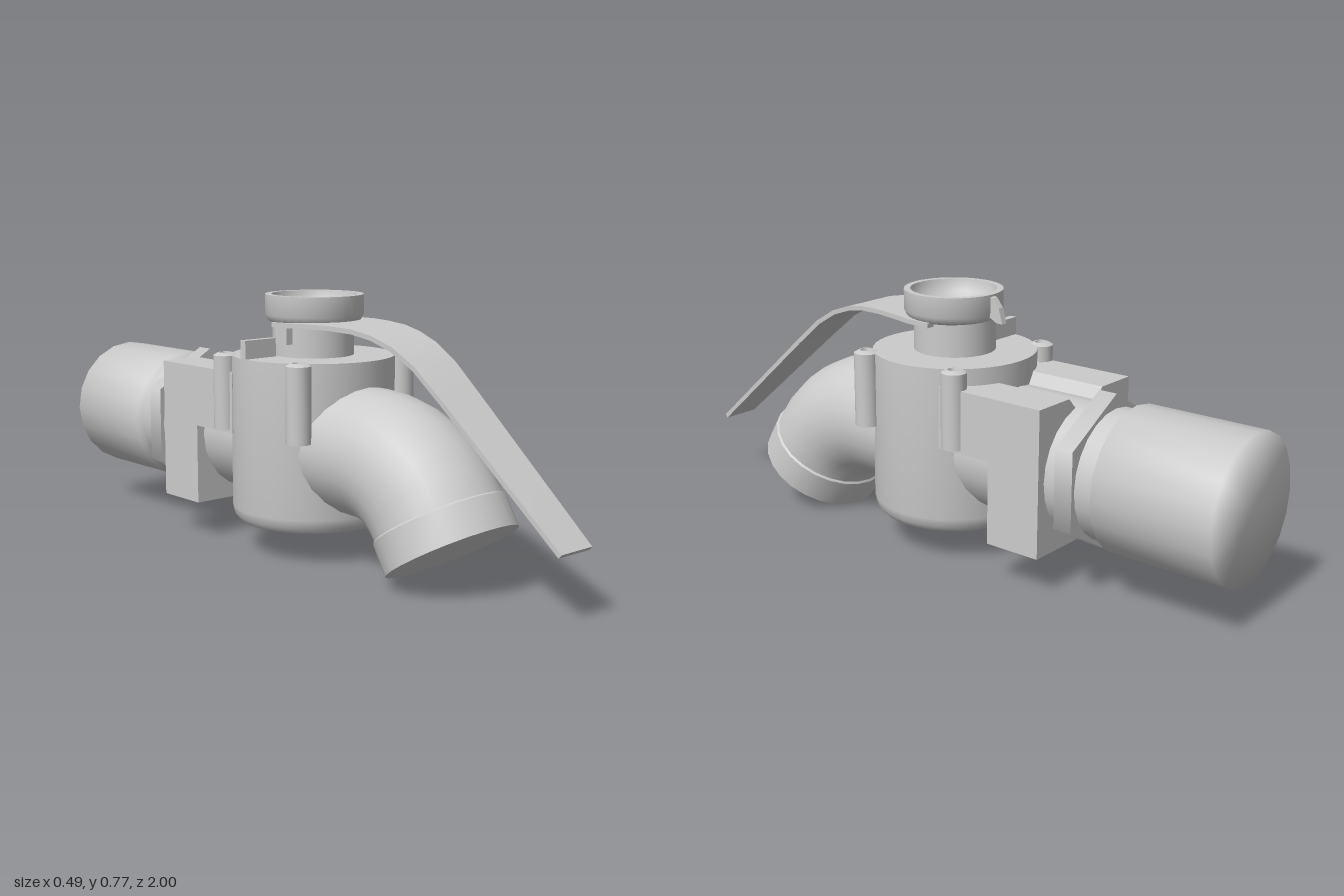
import * as THREE from 'three';
import { mergeVertices, toCreasedNormals } from 'three/addons/utils/BufferGeometryUtils.js';

const AXIS_Y = 0.33; // height of the pipe axis

export function createModel() {
  const model = new THREE.Group();
  const grey = new THREE.MeshStandardMaterial({ color: 0xcccccc, side: THREE.DoubleSide });

  const add = (name, geometry, x = 0, y = 0, z = 0) => {
    const mesh = new THREE.Mesh(geometry, grey);
    mesh.name = name;
    mesh.position.set(x, y, z);
    model.add(mesh);
    return mesh;
  };
  const lathe = (points, sides) =>
    toCreasedNormals(new THREE.LatheGeometry(points.map(([r, y]) => new THREE.Vector2(r, y)), sides), 0.7);
  // Cylinder lying along z between two z positions
  const pipe = (radius, z0, z1, sides) =>
    new THREE.CylinderGeometry(radius, radius, Math.abs(z1 - z0), sides)
      .rotateX(Math.PI / 2).translate(0, AXIS_Y, (z0 + z1) / 2);
  const polygon = (points) => new THREE.Shape(points.map(([x, y]) => new THREE.Vector2(x, y)));
  const extrude = (points, depth) =>
    new THREE.ExtrudeGeometry(polygon(points), { depth, bevelEnabled: false });

  // Upright valve body with a rounded lower edge
  add('valveBody', lathe([[0, 0.09], [0.2, 0.09], [0.225, 0.097], [0.24, 0.115],
    [0.245, 0.14], [0.245, 0.595], [0, 0.595]], 40));

  // Four hollow-topped bolts around the body
  const boltGeometry = lathe([[0, 0.37], [0.037, 0.37], [0.037, 0.592], [0.022, 0.6],
    [0.018, 0.6], [0.014, 0.58], [0, 0.58]], 16);
  for (const x of [-0.203, 0.203])
    for (const z of [-0.167, 0.17]) add('bolt', boltGeometry, x, 0, z);

  // Spout: rings swept along a straight run, a bend and a straight collar
  const bend = THREE.MathUtils.degToRad(58.5), R = 0.297, bendZ = 0.273;
  const stations = [{ z: 0.05, y: AXIS_Y, a: 0, r: 0.19 }];
  for (let i = 0; i <= 6; i++) {
    const a = (bend * i) / 6;
    stations.push({ z: bendZ + R * Math.sin(a), y: AXIS_Y - R * (1 - Math.cos(a)), a, r: 0.19 });
  }
  const last = stations[stations.length - 1];
  const along = (d, r) => ({ z: last.z + d * Math.cos(bend), y: last.y - d * Math.sin(bend), a: bend, r });
  stations.push(along(0.005, 0.196), along(0.1, 0.196), along(0.1, 0));
  add('spout', toCreasedNormals(loft(stations.map(({ z, y, a, r }) =>
    Array.from({ length: 24 }, (_, k) => {
      const t = (k / 24) * Math.PI * 2, v = r * Math.sin(t);
      return [r * Math.cos(t), y + v * Math.cos(a), z + v * Math.sin(a)];
    }))), 0.7));

  // Inlet pipe running back from the body
  add('inletPipe', pipe(0.19, 0, -0.66, 24));

  // Square wrench block with a notched top, and its upper step toward the body
  const notch = [[0.215, 0.545], [0.08, 0.545], [0, 0.46], [-0.08, 0.545], [-0.215, 0.545]];
  add('wrenchBlock', extrude([[-0.215, 0.115], [0.215, 0.115], ...notch], 0.175), 0, 0, -0.475);
  add('wrenchBlockStep', extrude([[-0.215, 0.36], [0.215, 0.36], ...notch], 0.2), 0, 0, -0.32);

  // Hexagonal union nut, point up
  add('hexNut', pipe(0.232, -0.518, -0.575, 6));

  // Tail fitting, its end softly shaded into its side
  const tail = pipe(0.212, -0.64, -1, 20);
  tail.deleteAttribute('normal');
  tail.deleteAttribute('uv');
  const softTail = mergeVertices(tail);
  softTail.computeVertexNormals();
  add('tailFitting', softTail);

  // Stem and hollow cap above the body
  add('stem', new THREE.CylinderGeometry(0.122, 0.122, 0.11, 32), 0, 0.645, 0);
  add('cap', lathe([[0, 0.69], [0.122, 0.69], [0.138, 0.697], [0.147, 0.715], [0.147, 0.775],
    [0.128, 0.775], [0.122, 0.74], [0.09, 0.712], [0, 0.7]], 36), 0, 0, 0.005);

  // Fin behind the cap
  add('capFin', extrude([[0.125, 0.772], [0.15, 0.767], [0.172, 0.74], [0.185, 0.695],
    [0.165, 0.695], [0.125, 0.715]], 0.02).rotateY(Math.PI / 2), -0.01, 0, 0);

  // Stops that limit the lever's turn
  add('bodyStop', new THREE.BoxGeometry(0.115, 0.055, 0.022), -0.186, 0.622, -0.03);
  add('leverStop', new THREE.BoxGeometry(0.022, 0.06, 0.05), -0.131, 0.665, 0.02);

  // Lever: thin strip following a bent path, [z, y, half width]
  const strip = [[-0.02, 0.69, 0.145], [0.06, 0.692, 0.145], [0.12, 0.694, 0.135], [0.2, 0.694, 0.118],
    [0.28, 0.69, 0.105], [0.35, 0.677, 0.095], [0.42, 0.653, 0.088], [0.5, 0.607, 0.081],
    [0.6, 0.525, 0.076], [0.995, 0.19, 0.061]];
  const sections = strip.map(([z, y, w], i) => {
    const p = strip[Math.max(i - 1, 0)], n = strip[Math.min(i + 1, strip.length - 1)];
    const a = Math.atan2(n[1] - p[1], n[0] - p[0]);
    const dy = 0.007 * Math.cos(a), dz = -0.007 * Math.sin(a);
    return [[w, y - dy, z - dz], [w, y + dy, z + dz], [-w, y + dy, z + dz], [-w, y - dy, z - dz]];
  });
  const collapse = (s) => s.map(() => [0, (s[0][1] + s[1][1]) / 2, (s[0][2] + s[1][2]) / 2]);
  add('lever', toCreasedNormals(loft([collapse(sections[0]), ...sections,
    collapse(sections[sections.length - 1])]), 0.6));

  return model;
}

// Skin joining equal-length closed rings, counter-clockwise seen from +z
function loft(rings) {
  const n = rings[0].length, index = [];
  for (let i = 0; i < rings.length - 1; i++)
    for (let k = 0; k < n; k++) {
      const a = i * n + k, b = i * n + ((k + 1) % n);
      index.push(a, b, b + n, a, b + n, a + n);
    }
  const geometry = new THREE.BufferGeometry();
  geometry.setAttribute('position', new THREE.Float32BufferAttribute(rings.flat(2), 3));
  geometry.setIndex(index);
  geometry.computeVertexNormals();
  return geometry;
}
